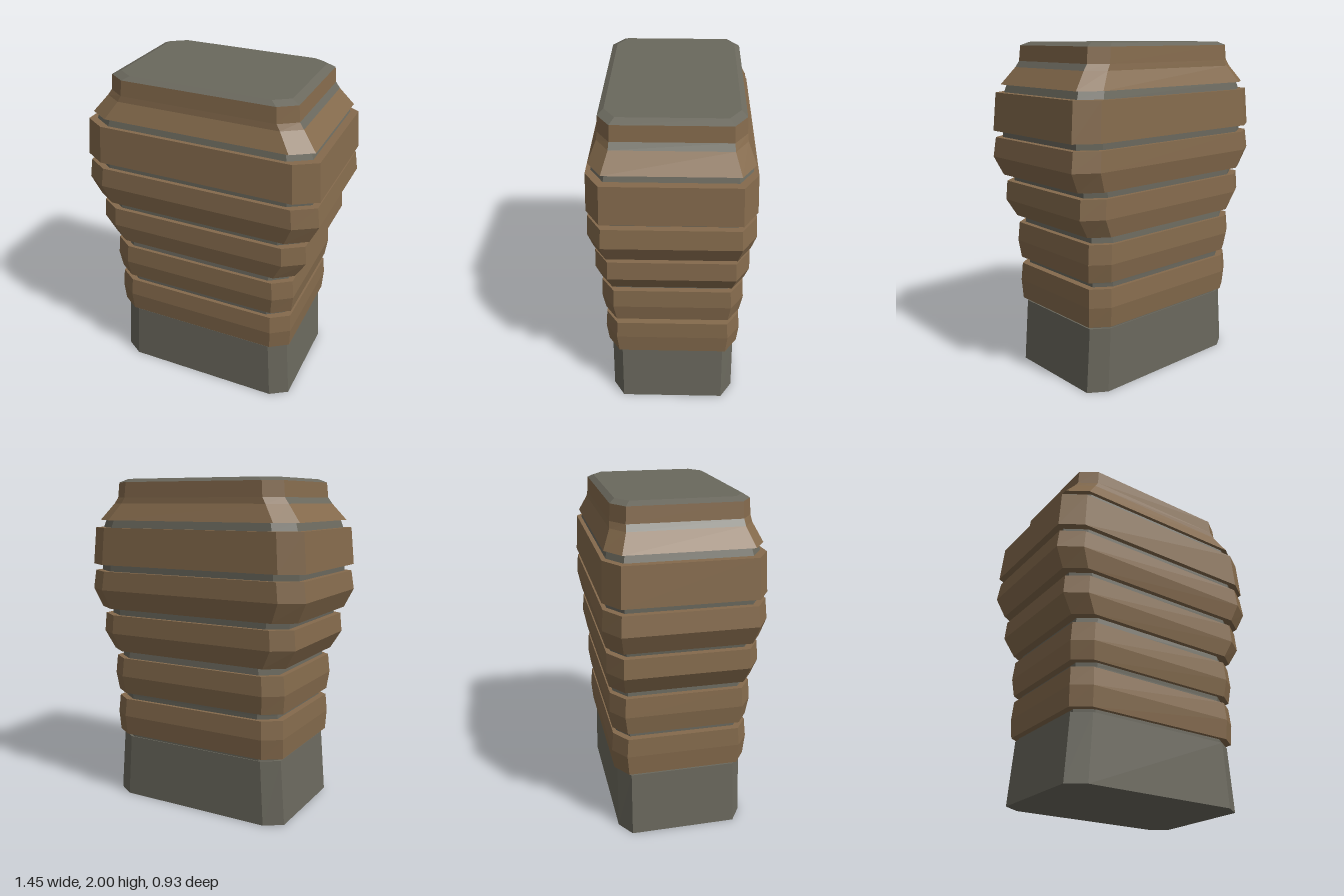
import * as THREE from 'three';

const grey = new THREE.MeshStandardMaterial({ color: 0x6a685d, flatShading: true });
const brown = new THREE.MeshStandardMaterial({ color: 0x846a4c, flatShading: true });

// Chamfered rectangle, counter-clockwise seen from above
const K = 0.82;
const OUTLINE = [[-K, 1], [K, 1], [1, K], [1, -K], [K, -1], [-K, -1], [-1, -K], [-1, K]];
const ALL = [0, 1, 2, 3, 4, 5, 6, 7];

// Skins a stack of rings [y, halfWidth, halfDepth] on the chosen sides, with optional end caps
function loft(name, material, rings, { sides = ALL, caps = true } = {}) {
  const pos = [];
  const point = ([y, w, d], i) => [OUTLINE[i % 8][0] * w, y, OUTLINE[i % 8][1] * d];
  const tri = (a, b, c) => pos.push(...a, ...b, ...c);
  for (let r = 0; r < rings.length - 1; r++) {
    for (const i of sides) {
      const a = point(rings[r], i), b = point(rings[r], i + 1);
      const c = point(rings[r + 1], i + 1), d = point(rings[r + 1], i);
      tri(a, b, c);
      tri(a, c, d);
    }
  }
  if (caps) {
    const bottom = rings[0], top = rings[rings.length - 1];
    for (let i = 1; i < 7; i++) {
      tri(point(bottom, 0), point(bottom, i + 1), point(bottom, i));
      tri(point(top, 0), point(top, i), point(top, i + 1));
    }
  }
  const geometry = new THREE.BufferGeometry();
  geometry.setAttribute('position', new THREE.Float32BufferAttribute(pos, 3));
  geometry.computeVertexNormals();
  const mesh = new THREE.Mesh(geometry, material);
  mesh.name = name;
  return mesh;
}

export function createModel() {
  const model = new THREE.Group();
  model.name = 'ribbedTorso';

  // Plain tapered base
  model.add(loft('base', grey, [[0, 0.59, 0.385], [0.39, 0.56, 0.38]]));

  // Inner core, seen in the grooves between the bands
  model.add(loft('core', grey, [
    [0.3, 0.54, 0.37], [0.41, 0.54, 0.375], [0.66, 0.535, 0.38], [0.9, 0.55, 0.395],
    [0.95, 0.545, 0.39], [1.175, 0.61, 0.41], [1.215, 0.615, 0.41], [1.445, 0.67, 0.43],
    [1.485, 0.67, 0.43], [1.71, 0.655, 0.425], [1.755, 0.64, 0.415],
  ]));

  // Padded bands
  const bands = [
    [[0.41, 0.58, 0.4], [0.53, 0.585, 0.412], [0.64, 0.577, 0.402]],
    [[0.68, 0.58, 0.405], [0.79, 0.593, 0.422], [0.905, 0.582, 0.415]],
    [[0.95, 0.595, 0.42], [1.06, 0.66, 0.44], [1.175, 0.65, 0.435]],
    [[1.215, 0.67, 0.44], [1.33, 0.725, 0.463], [1.445, 0.708, 0.455]],
    [[1.485, 0.72, 0.46], [1.71, 0.7, 0.45]],
  ];
  bands.forEach((rings, i) => model.add(loft(`band${i + 1}`, brown, rings)));

  // Flared collar with a grey strip on the left and right sides
  const low = [1.855, 0.587, 0.392], high = [1.89, 0.562, 0.388], rim = [1.98, 0.553, 0.383];
  model.add(
    loft('collarFlare', brown, [[1.755, 0.67, 0.437], low]),
    loft('collarMiddle', brown, [low, high], { sides: [0, 1, 3, 4, 5, 7], caps: false }),
    loft('collarSideStrips', grey, [low, high], { sides: [2, 6], caps: false }),
    loft('collarTop', brown, [high, rim], { caps: false }),
  );

  // Bevelled top plate
  model.add(loft('topPlate', grey, [rim, [2, 0.507, 0.352]]));
  return model;
}
